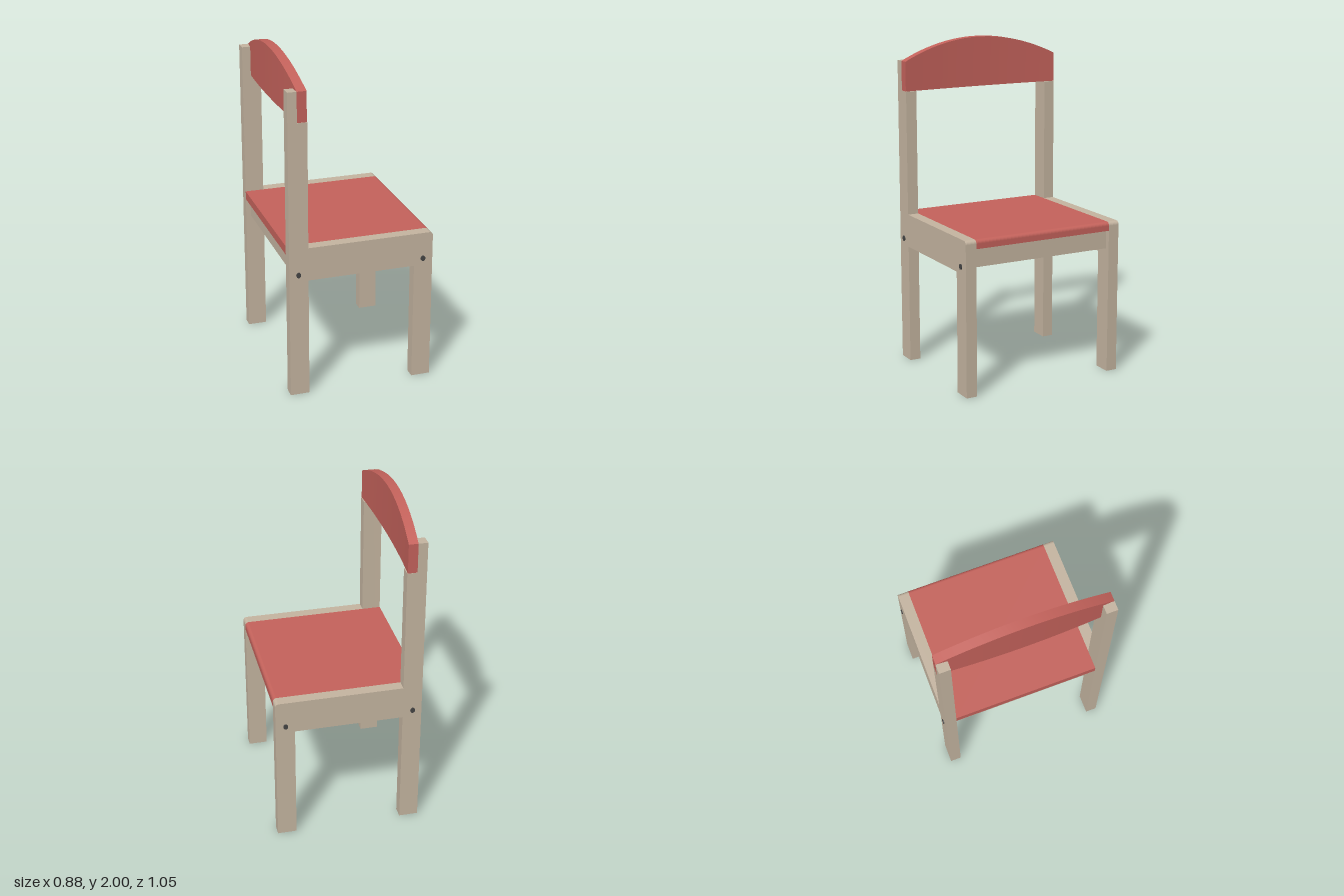
import * as THREE from 'three';

const wood = new THREE.MeshStandardMaterial({ name: 'wood', color: 0xc4b4a0 });
const red = new THREE.MeshStandardMaterial({ name: 'red', color: 0xc4625b });
const steel = new THREE.MeshStandardMaterial({ name: 'dark steel', color: 0x444444 });

const HALF_X = 0.44, HALF_Z = 0.517, INNER_Z = 0.449;
const LEG_X = 0.325; // inner edge of the legs
const SEAT_TOP = 0.938, SEAT_BOTTOM = 0.885;

function add(group, name, geometry, material) {
  const mesh = new THREE.Mesh(geometry, material);
  mesh.name = name;
  group.add(mesh);
  return mesh;
}

// Box given by its limits on each axis
function block(x0, x1, y0, y1, z0, z1) {
  return new THREE.BoxGeometry(x1 - x0, y1 - y0, z1 - z0)
    .translate((x0 + x1) / 2, (y0 + y1) / 2, (z0 + z1) / 2);
}

// Side profile in x and y, extruded from z0 to z1
function profile(shape, z0, z1) {
  return new THREE.ExtrudeGeometry(shape, { depth: z1 - z0, bevelEnabled: false, curveSegments: 6 })
    .translate(0, 0, z0);
}

// Rectangle with a rounded top front corner
function roundedFront(x0, x1, y0, y1, r = 0.022) {
  const s = new THREE.Shape();
  s.moveTo(x0, y0);
  s.lineTo(x1, y0);
  s.lineTo(x1, y1 - r);
  s.absarc(x1 - r, y1 - r, r, 0, Math.PI / 2, false);
  s.lineTo(x0, y1);
  s.closePath();
  return s;
}

// Back post, notched at the top to take the backrest
function postShape() {
  const notch = -0.385;
  return new THREE.Shape([
    [-HALF_X, 0], [-LEG_X, 0], [-LEG_X, 1.695], [notch, 1.695], [notch, 1.875], [-HALF_X, 1.875],
  ].map(([x, y]) => new THREE.Vector2(x, y)));
}

// Bowed board with an arched top edge
function backrestGeometry() {
  const g = new THREE.BoxGeometry(0.056, 1, 2 * HALF_Z, 1, 1, 28);
  const p = g.attributes.position;
  for (let i = 0; i < p.count; i++) {
    const arch = 1 - (p.getZ(i) / HALF_Z) ** 2;
    p.setX(i, p.getX(i) - 0.356 - 0.018 * arch);
    p.setY(i, p.getY(i) > 0 ? 1.875 + 0.125 * arch : 1.696);
  }
  g.computeVertexNormals();
  return g;
}

export function createModel() {
  const chair = new THREE.Group();
  chair.name = 'chair';

  // Side frames
  for (const side of [1, -1]) {
    const frame = new THREE.Group();
    frame.name = side > 0 ? 'leftFrame' : 'rightFrame';
    const z0 = side > 0 ? INNER_Z : -HALF_Z;
    const z1 = side > 0 ? HALF_Z : -INNER_Z;
    add(frame, 'backPost', profile(postShape(), z0, z1), wood);
    add(frame, 'frontLeg', profile(roundedFront(LEG_X, HALF_X, 0, SEAT_TOP), z0, z1), wood);
    add(frame, 'sideRail', block(-LEG_X, LEG_X, 0.735, SEAT_TOP, z0, z1), wood);
    // Bolt heads
    for (const x of [-0.385, 0.38]) {
      const bolt = add(frame, 'bolt', new THREE.CylinderGeometry(0.014, 0.014, 0.01, 16), steel);
      bolt.rotation.x = Math.PI / 2;
      bolt.scale.z = 1.2;
      bolt.position.set(x, 0.777, side * (HALF_Z + 0.001));
    }
    chair.add(frame);
  }

  // Seat and the support under it
  add(chair, 'seat', profile(roundedFront(-HALF_X, HALF_X, SEAT_BOTTOM, SEAT_TOP), -INNER_Z, INNER_Z), red);
  add(chair, 'seatSupport', block(-0.41, 0.41, 0.77, SEAT_BOTTOM, -INNER_Z, INNER_Z), wood);

  // Backrest
  add(chair, 'backrest', backrestGeometry(), red);
  return chair;
}
